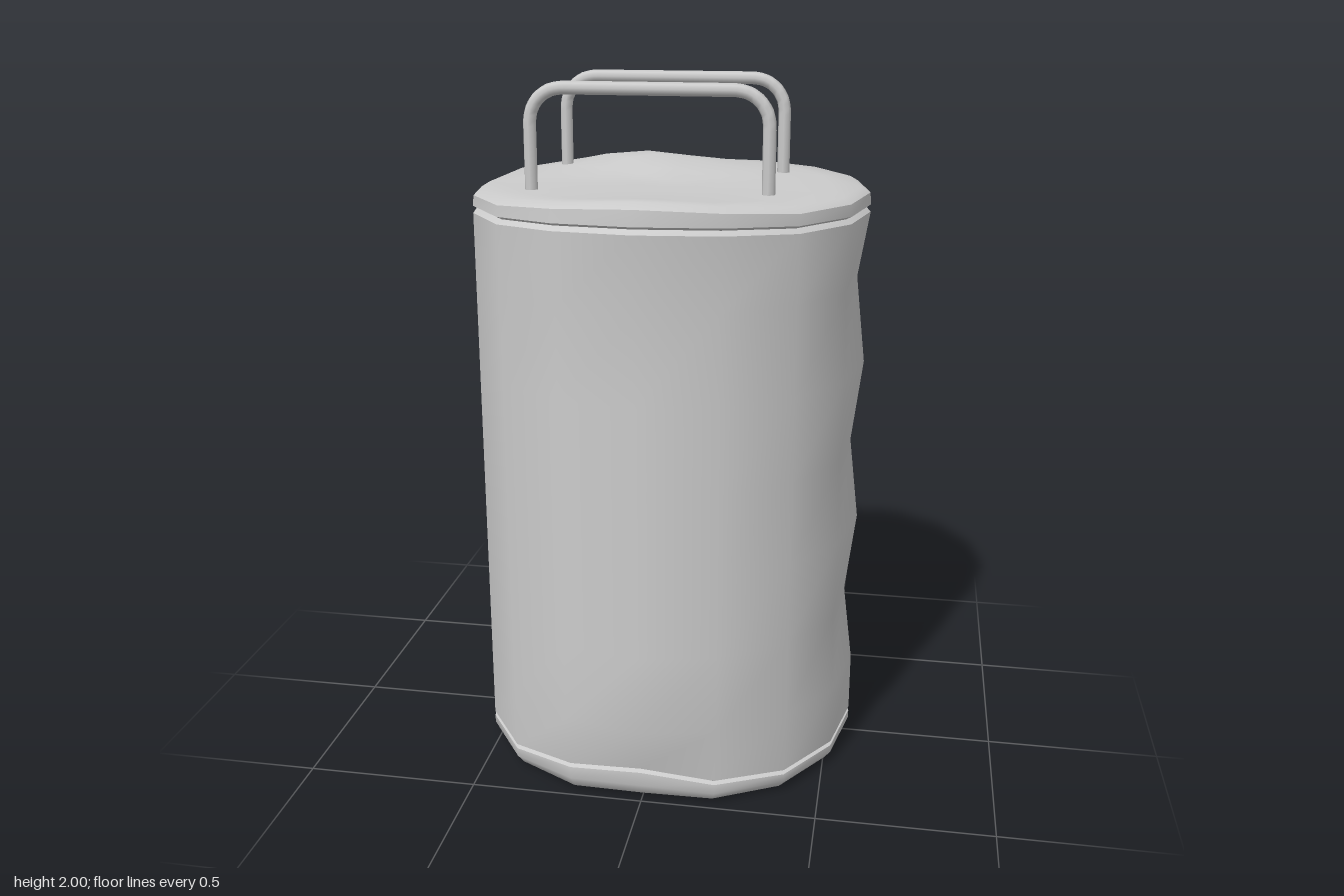
import * as THREE from 'three';
import { toCreasedNormals } from 'three/addons/utils/BufferGeometryUtils.js';

const SIDES = 16, R = 0.565, CZ = -0.02;
const steel = new THREE.MeshStandardMaterial({ color: 0xcccccc, side: THREE.DoubleSide });

// smooth bump around an angle (0 = front, PI/2 = left side +x)
function near(a, centre, width) {
  let d = Math.abs(a - centre) % (2 * Math.PI);
  if (d > Math.PI) d = 2 * Math.PI - d;
  return Math.exp(-((d / width) ** 2));
}
const ramp = (y, from, to) => THREE.MathUtils.clamp((y - from) / (to - from), 0, 1);

// radius of the battered shell
function radius(a, y) {
  const top = ramp(y, 1.45, 1.64), low = ramp(y, 0.25, 0.07);
  const wave = 0.015 + 0.015 * Math.cos((y - 0.98) * 2 * Math.PI / 0.48);
  return R
    + 0.035 * top * near(a, 0, 0.35)
    - 0.055 * top * near(a, Math.PI + 0.15, 0.3)
    - 0.045 * low * near(a, 0, 0.4)
    - wave * near(a, Math.PI / 2, 0.35) * ramp(y, 0.1, 0.4) * ramp(y, 1.64, 1.5);
}

// heights of the dented lid and of the lower seam
const lidLift = (x, z) =>
  0.05 * Math.exp(-((x + 0.12) ** 2 / 0.05 + (z + 0.25) ** 2 / 0.025))
  + 0.035 * Math.exp(-(x ** 2 / 0.1 + (z - 0.56) ** 2 / 0.025))
  - 0.012 * Math.exp(-((x + 0.55) ** 2 + z ** 2) / 0.03);
const seamLift = (a) => 0.04 * near(a, -0.1, 0.45) + 0.03 * near(a, 2.5, 0.35);

// skin over rings; each ring maps an angle to [radius, height]
function loft(name, rings, crease) {
  const pos = [], index = [];
  rings.forEach((ring, j) => {
    for (let i = 0; i < SIDES; i++) {
      const a = i / SIDES * 2 * Math.PI, [r, y] = ring(a);
      pos.push(r * Math.sin(a), y, CZ + r * Math.cos(a));
      if (j === 0) continue;
      const n = (i + 1) % SIDES, p = (j - 1) * SIDES, q = j * SIDES;
      index.push(p + i, p + n, q + n, p + i, q + n, q + i);
    }
  });
  const g = new THREE.BufferGeometry();
  g.setAttribute('position', new THREE.Float32BufferAttribute(pos, 3));
  g.setIndex(index);
  const mesh = new THREE.Mesh(toCreasedNormals(g, crease), steel);
  mesh.name = name;
  return mesh;
}

// ring of the lid at a fraction of its radius
const lidRing = (f, y) => (a) => {
  const r = radius(a, 1.64) * f;
  return [r, y + lidLift(r * Math.sin(a), CZ + r * Math.cos(a))];
};

// round-cornered grab handle
function handle(z) {
  const x0 = -0.35, x1 = 0.3, top = 1.98, b = 0.09;
  const v = (x, y) => new THREE.Vector3(x, y, z);
  const path = new THREE.CurvePath();
  const pts = [v(x0, 1.67), v(x0, top - b)];
  const arc = (cx, from, to) => {
    for (let i = 1; i <= 5; i++) {
      const t = from + (to - from) * i / 5;
      pts.push(v(cx + b * Math.cos(t), top - b + b * Math.sin(t)));
    }
  };
  arc(x0 + b, Math.PI, Math.PI / 2);
  pts.push(v(x1 - b, top));
  arc(x1 - b, Math.PI / 2, 0);
  pts.push(v(x1, 1.67));
  for (let i = 1; i < pts.length; i++) path.add(new THREE.LineCurve3(pts[i - 1], pts[i]));
  const mesh = new THREE.Mesh(new THREE.TubeGeometry(path, 80, 0.018, 8), steel);
  mesh.name = z > 0 ? 'frontHandle' : 'backHandle';
  return mesh;
}

export function createModel() {
  const model = new THREE.Group();
  model.name = 'dentedCanister';

  // shell, tucked in at both seams
  const rows = [0.25, 0.48, 0.72, 0.96, 1.2, 1.45];
  model.add(loft('shell', [
    (a) => [radius(a, 0.07) - 0.02, 0.06 + seamLift(a)],
    (a) => [radius(a, 0.07), 0.072 + seamLift(a)],
    ...rows.map((y) => (a) => [radius(a, y), y]),
    (a) => [radius(a, 1.64), 1.635 + 0.025 * near(a, 0, 0.6)],
    (a) => [radius(a, 1.64) - 0.02, 1.65 + 0.025 * near(a, 0, 0.6)],
  ], 0.65));

  // lid with a turned rim
  model.add(loft('lid', [
    (a) => [radius(a, 1.64) - 0.02, 1.645 + 0.025 * near(a, 0, 0.6)],
    (a) => [radius(a, 1.64), 1.655 + 0.025 * near(a, 0, 0.6)],
    lidRing(0.995, 1.688), lidRing(0.95, 1.703), lidRing(0.8, 1.708),
    lidRing(0.6, 1.71), lidRing(0.4, 1.708), lidRing(0.2, 1.706), () => [0, 1.705],
  ], 0.9));

  // base with a bevelled foot
  model.add(loft('base', [
    () => [0, 0.008],
    (a) => [radius(a, 0.07) * 0.9, 0.003 + 0.012 * near(a, 0, 0.4)],
    (a) => [radius(a, 0.07) * 0.965, 0.01 + 0.01 * near(a, 0, 0.4)],
    (a) => [radius(a, 0.07), 0.035 + 0.5 * seamLift(a)],
    (a) => [radius(a, 0.07), 0.058 + seamLift(a)],
    (a) => [radius(a, 0.07) - 0.02, 0.066 + seamLift(a)],
  ], 0.9));

  for (const z of [0.205, -0.21]) model.add(handle(z));
  return model;
}
